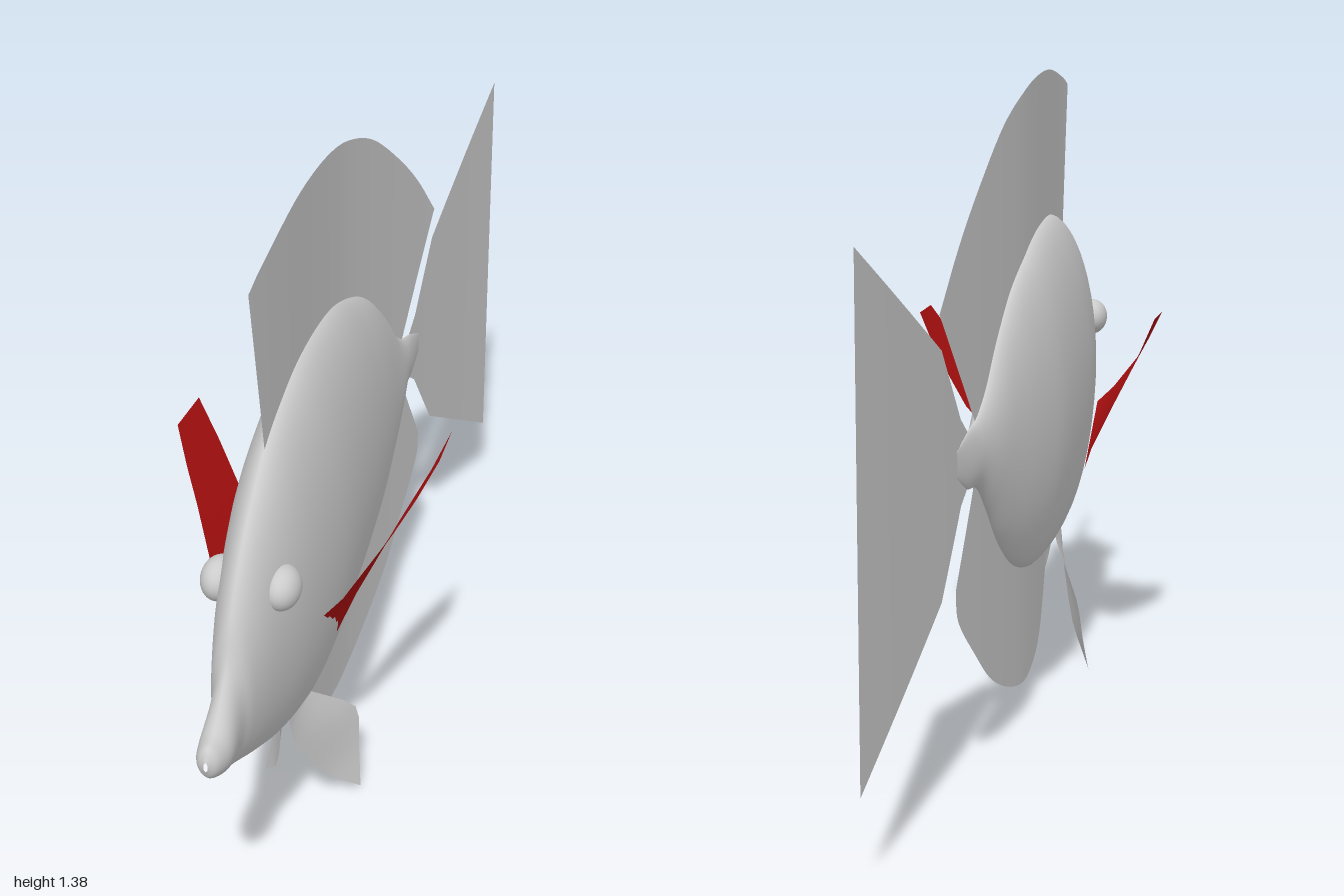
import * as THREE from 'three';

const grey = new THREE.MeshStandardMaterial({ color: 0xcccccc });
const finGrey = new THREE.MeshStandardMaterial({ color: 0xcccccc, side: THREE.DoubleSide });
const finRed = new THREE.MeshStandardMaterial({ color: 0xb01010, side: THREE.DoubleSide });

// Sideways swing of the spine: straight head, tail curving to +x
function bend(z) {
  return z > 0
    ? -0.013 + 0.024 * THREE.MathUtils.smoothstep(z, 0, 0.7)
    : -0.013 + 0.1 * Math.pow(-z, 1.4);
}

// Smooth grid surface from a point function p(i, j) -> [x, y, z]
function grid(nu, nv, p) {
  const pos = [], idx = [];
  for (let i = 0; i <= nu; i++) for (let j = 0; j <= nv; j++) pos.push(...p(i / nu, j / nv));
  for (let i = 0; i < nu; i++) for (let j = 0; j < nv; j++) {
    const a = i * (nv + 1) + j, b = a + nv + 1;
    idx.push(a, b, a + 1, b, b + 1, a + 1);
  }
  const g = new THREE.BufferGeometry();
  g.setAttribute('position', new THREE.Float32BufferAttribute(pos, 3));
  g.setIndex(idx);
  g.computeVertexNormals();
  return g;
}

function curve(points, tension = 0.5) {
  return new THREE.CatmullRomCurve3(points.map(p => new THREE.Vector3(...p)), false, 'catmullrom', tension);
}

function part(name, geometry, material) {
  const m = new THREE.Mesh(geometry, material);
  m.name = name;
  return m;
}

// Thin median fin between two [z, y] edges, following the spine
function medianFin(name, inner, outer, tension) {
  const a = curve(inner.map(([z, y]) => [0, y, z]), tension);
  const b = curve(outer.map(([z, y]) => [0, y, z]), tension);
  return part(name, grid(48, 8, (u, v) => {
    const p = a.getPoint(u).lerp(b.getPoint(u), v);
    return [bend(p.z), p.y, p.z];
  }), finGrey);
}

// Thin side fin between front and rear edges of [x, y, z]; side is 1 or -1
function sideFin(name, front, rear, side, material, steps, tension) {
  const a = curve(front, tension), b = curve(rear, tension);
  return part(name, grid(steps, 4, (u, v) => {
    const p = a.getPoint(u).lerp(b.getPoint(u), v);
    return [side * p.x, p.y, p.z];
  }), material);
}

// Body stations: z, top, bottom, half width
const stations = [
  [1.0, 0.575, 0.555, 0.004], [0.985, 0.597, 0.53, 0.022], [0.945, 0.613, 0.508, 0.032],
  [0.88, 0.685, 0.477, 0.031], [0.84, 0.78, 0.457, 0.042], [0.76, 0.89, 0.417, 0.061],
  [0.625, 1.0, 0.358, 0.084], [0.464, 1.048, 0.31, 0.099], [0.32, 1.058, 0.303, 0.103],
  [0.14, 1.043, 0.312, 0.097], [0, 1.007, 0.33, 0.087], [-0.126, 0.952, 0.372, 0.069],
  [-0.233, 0.866, 0.445, 0.05], [-0.313, 0.78, 0.53, 0.036], [-0.378, 0.733, 0.592, 0.022],
  [-0.44, 0.715, 0.605, 0.011], [-0.5, 0.69, 0.64, 0.001],
];

function body() {
  const outline = curve(stations.map(s => [s[1], s[2], s[0]]));
  const width = curve(stations.map(s => [s[3], 0, 0]));
  return grid(96, 48, (u, v) => {
    const o = outline.getPoint(u), w = width.getPoint(u).x;
    const t = v * Math.PI * 2, c = Math.sin(t);
    // slightly lens-shaped section with narrow back and belly
    const x = Math.sign(c) * Math.pow(Math.abs(c), 1.2) * w;
    return [bend(o.z) + x, (o.x + o.y) / 2 - Math.cos(t) * (o.x - o.y) / 2, o.z];
  });
}

export function createModel() {
  const fish = new THREE.Group();
  fish.name = 'fish';

  const bodyGeo = body();
  // make sure the skin faces outward
  const n = bodyGeo.attributes.normal, q = 48 * 49 + 12;
  if (n.getX(q) < 0) {
    bodyGeo.setIndex([...bodyGeo.index.array].reverse());
    bodyGeo.computeVertexNormals();
  }
  fish.add(part('body', bodyGeo, grey));

  // Median fins
  fish.add(medianFin('dorsalFin',
    [[0.62, 0.98], [0.46, 1.0], [0.3, 1.0], [0.1, 0.99], [-0.1, 0.92], [-0.25, 0.81], [-0.375, 0.715]],
    [[0.694, 1.342], [0.62, 1.36], [0.464, 1.38], [0.32, 1.386], [0.14, 1.375], [-0.02, 1.347],
      [-0.18, 1.29], [-0.34, 1.19], [-0.475, 1.085], [-0.593, 0.968]]));
  fish.add(medianFin('analFin',
    [[0.38, 0.32], [0.25, 0.34], [0, 0.38], [-0.2, 0.46], [-0.39, 0.61]],
    [[0.27, 0.175], [0.22, 0.12], [0.14, 0.085], [0.01, 0.072], [-0.126, 0.1], [-0.276, 0.165],
      [-0.394, 0.257], [-0.496, 0.353], [-0.51, 0.42]]));
  fish.add(medianFin('tailFin',
    [[-0.4, 0.69], [-0.475, 0.75], [-0.582, 0.9], [-0.993, 1.138]],
    [[-0.4, 0.63], [-0.475, 0.58], [-0.592, 0.42], [-1, 0.187]], 0));

  // Paired parts
  for (const [side, label] of [[1, 'left'], [-1, 'right']]) {
    const eye = part(label + 'Eye', new THREE.SphereGeometry(1, 24, 16), grey);
    eye.scale.set(0.035, 0.042, 0.048);
    eye.position.set(0.01 + side * 0.06, 0.775, 0.72);
    fish.add(eye);

    // pectoral fin: short root flap, crease, then the swept blade
    fish.add(sideFin(label + 'PectoralFin',
      [[0.088, 0.594, 0.555], [0.13, 0.636, 0.53], [0.2, 0.727, 0.42], [0.235, 0.785, 0.375], [0.268, 0.85, 0.33]],
      [[0.08, 0.46, 0.41], [0.105, 0.52, 0.34], [0.165, 0.636, 0.23], [0.225, 0.755, 0.207], [0.265, 0.85, 0.21]],
      side, finRed, 4, 0.5));

    // pelvic fin under the belly
    fish.add(sideFin(label + 'PelvicFin',
      [[0.005, 0.33, 0.5], [0.012, 0.27, 0.5], [0.022, 0.205, 0.473], [0.055, 0.09, 0.4], [0.107, 0.003, 0.314]],
      [[0.005, 0.33, 0.42], [0.02, 0.285, 0.38], [0.085, 0.18, 0.272], [0.097, 0.085, 0.288], [0.107, 0.003, 0.312]],
      side, finGrey, 12, 0.4));
  }
  return fish;
}
